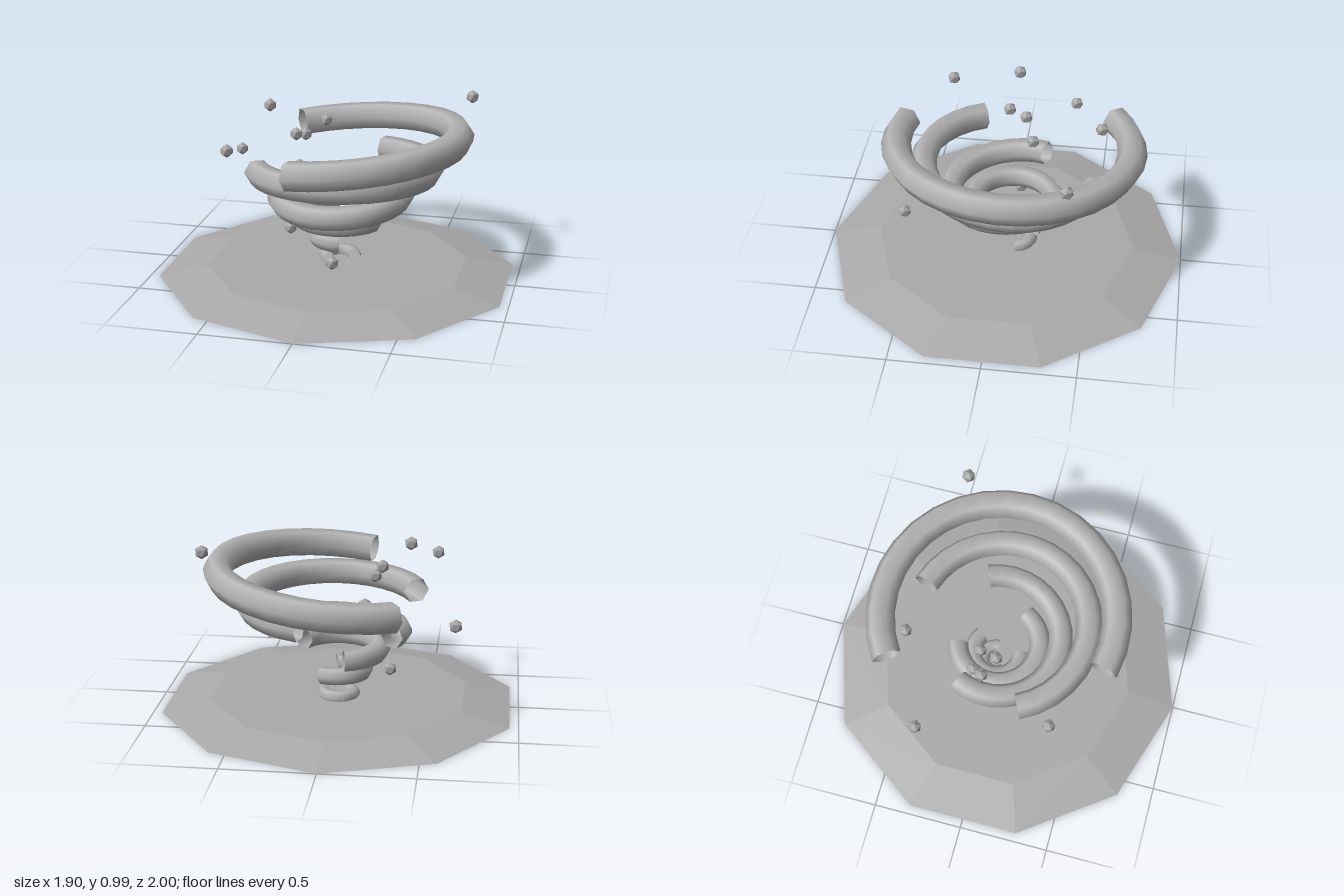
import * as THREE from 'three';

export function createModel() {
  const model = new THREE.Group();
  model.name = 'whirlwind';
  const windGrey = new THREE.MeshStandardMaterial({ color: 0xb4b4b4, side: THREE.DoubleSide });
  windGrey.name = 'wind grey';
  const dustGrey = new THREE.MeshStandardMaterial({ color: 0xaaaaaa, flatShading: true });
  dustGrey.name = 'dust grey';
  const rockGrey = new THREE.MeshStandardMaterial({ color: 0xa4a4a4, flatShading: true });
  rockGrey.name = 'rock grey';

  const add = (name, geometry, material, x, y, z) => {
    const mesh = new THREE.Mesh(geometry, material);
    mesh.name = name;
    mesh.position.set(x, y, z);
    model.add(mesh);
  };

  // Ten-sided ground disc with a bevelled rim
  add('groundDisc', new THREE.CylinderGeometry(0.73, 1, 0.055, 10), dustGrey, 0, 0.0275, 0);

  // Open hexagonal wind arcs, widening upward, each turned about 51 degrees from the last
  // [ring radius, tube radius, x, y, z, rise toward +x, rise toward +z]
  const arcs = [
    [0.08, 0.04, 0, 0.07, -0.06, 0, 0],
    [0.136, 0.05, -0.005, 0.203, -0.055, -0.05, -0.07],
    [0.232, 0.06, 0.005, 0.335, -0.045, 0, 0],
    [0.35, 0.067, 0.012, 0.453, -0.047, 0.04, -0.1],
    [0.482, 0.074, 0.025, 0.605, -0.035, 0.015, 0.045],
    [0.64, 0.081, 0.02, 0.735, -0.05, 0.09, 0.02],
  ];
  arcs.forEach(([ring, tube, x, y, z, riseX, riseZ], i) => {
    const geometry = new THREE.TorusGeometry(ring, tube, 6, 20, 4.0);
    geometry.rotateX(Math.PI / 2);
    geometry.rotateY(-THREE.MathUtils.degToRad(128 - 50.6 * i));
    geometry.rotateZ(riseX).rotateX(-riseZ);
    add('windArc' + (i + 1), geometry, windGrey, x, y, z);
  });

  // Floating debris, each with a corner pointing up
  const rock = new THREE.IcosahedronGeometry(0.038, 0);
  rock.rotateZ(-Math.atan(2 / (1 + Math.sqrt(5))));
  [
    [-0.39, 0.935, -0.03], [0.682, 0.952, -0.393], [-0.52, 0.78, 0.367],
    [-0.65, 0.575, -0.333], [-0.187, 0.73, -0.51], [0.1, 0.272, 0.56],
    [-0.233, 0.79, 0.007], [-0.203, 0.765, -0.088], [-0.25, 0.567, -0.122],
    [-0.285, 0.217, -0.05],
  ].forEach((p, i) => add('debris' + (i + 1), rock, rockGrey, ...p));

  return model;
}
